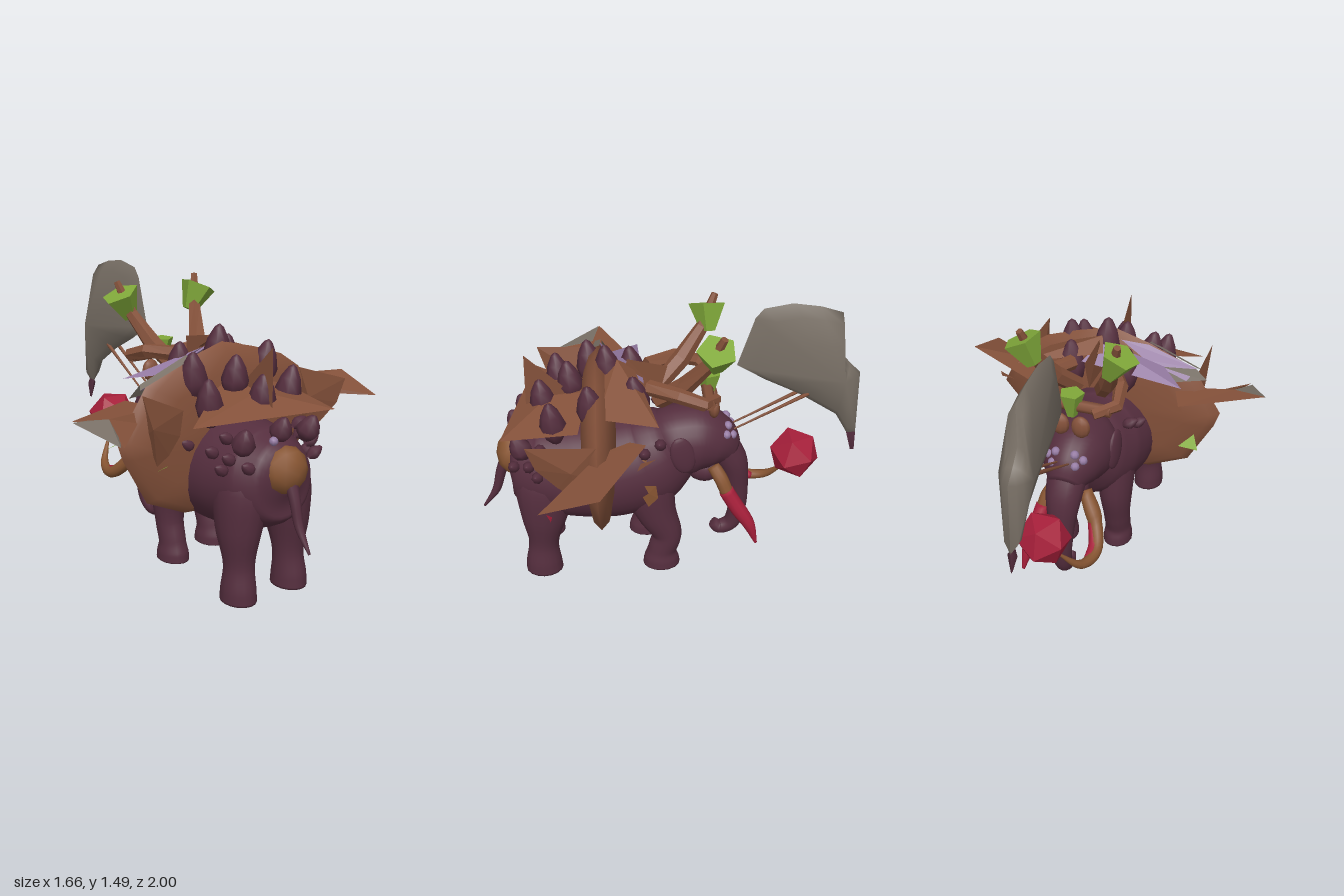
import * as THREE from 'three';

const CX = 0.03; // the animal's centre line
const mat = (name, color) => {
  const m = new THREE.MeshStandardMaterial({ color, side: THREE.DoubleSide });
  m.name = name;
  return m;
};

export function createModel() {
  const root = new THREE.Group();
  root.name = 'armouredElephant';
  const hide = mat('purpleHide', 0x552e3e), brown = mat('brownArmour', 0x84513a), tan = mat('tanHorn', 0x875532);
  const grey = mat('greyMetal', 0x797066), green = mat('leafGreen', 0x80a83a), red = mat('crimson', 0xa61f3a);
  const lavender = mat('lavender', 0x957ba3);

  const add = (name, geo, material, x = 0, y = 0, z = 0) => {
    const m = new THREE.Mesh(geo, material);
    m.name = name;
    m.position.set(x, y, z);
    root.add(m);
    return m;
  };
  const build = (pos, idx, flat) => {
    let g = new THREE.BufferGeometry();
    g.setAttribute('position', new THREE.Float32BufferAttribute(pos, 3));
    g.setIndex(idx);
    if (flat) g = g.toNonIndexed();
    g.computeVertexNormals();
    return g;
  };

  // Tapered tube through sections [x, y, z, sideRadius, otherRadius]
  const limb = (sections, sides = 16, steps = 6, flat = false) => {
    const path = new THREE.CatmullRomCurve3(sections.map(s => new THREE.Vector3(s[0], s[1], s[2])));
    const size = new THREE.CatmullRomCurve3(sections.map(s => new THREE.Vector3(s[3], s[4] ?? s[3], 0)));
    const n = (sections.length - 1) * steps, pos = [], idx = [];
    for (let i = 0; i <= n; i++) {
      const c = path.getPoint(i / n), r = size.getPoint(i / n), t = path.getTangent(i / n);
      const s = new THREE.Vector3(1, 0, 0).addScaledVector(t, -t.x).normalize();
      const u = t.clone().cross(s);
      for (let j = 0; j < sides; j++) {
        const a = j / sides * Math.PI * 2;
        pos.push(...c.clone().addScaledVector(s, Math.cos(a) * r.x).addScaledVector(u, Math.sin(a) * r.y).toArray());
      }
    }
    for (let i = 0; i < n; i++) for (let j = 0; j < sides; j++) {
      const k = (j + 1) % sides, a = i * sides, b = a + sides;
      idx.push(a + j, a + k, b + k, a + j, b + k, b + j);
    }
    const c0 = pos.length / 3;
    pos.push(...path.getPoint(0).toArray(), ...path.getPoint(1).toArray());
    for (let j = 0; j < sides; j++) {
      const k = (j + 1) % sides;
      idx.push(c0, k, j, c0 + 1, n * sides + j, n * sides + k);
    }
    return build(pos, idx, flat);
  };

  // Lens: outline swelling to a given half thickness at its centre
  const lens = (outline, [cu, cv], half, levels, map, flat = false) => {
    const pos = [], idx = [], n = outline.length;
    for (const side of [1, -1]) {
      const base = pos.length / 3;
      for (const [t, h] of levels) for (const [u, v] of outline)
        pos.push(...map(cu + (u - cu) * t, cv + (v - cv) * t, side * h * half));
      pos.push(...map(cu, cv, side * half));
      levels.forEach((_, l) => {
        for (let j = 0; j < n; j++) {
          const a = base + l * n + j, b = base + l * n + (j + 1) % n;
          const tris = l < levels.length - 1 ? [a, b, b + n, a, b + n, a + n] : [a, b, base + levels.length * n];
          for (let q = 0; q < tris.length; q += 3)
            side > 0 ? idx.push(tris[q], tris[q + 1], tris[q + 2]) : idx.push(tris[q], tris[q + 2], tris[q + 1]);
        }
      });
    }
    return build(pos, idx, flat);
  };
  // Thin polygon fanned from its first corner
  const plate = (name, pts, material) => {
    const idx = [];
    for (let i = 1; i < pts.length - 1; i++) idx.push(0, i, i + 1);
    return add(name, build(pts.flat(), idx, true), material);
  };
  const ball = (r, w = 14, h = 10) => new THREE.SphereGeometry(r, w, h);

  // Body and head
  add('body', limb([
    [CX, 0.62, 0.84, 0.05], [CX, 0.62, 0.8, 0.17, 0.18], [CX, 0.6, 0.7, 0.24, 0.24], [CX, 0.575, 0.5, 0.275, 0.28],
    [CX, 0.575, 0.3, 0.285, 0.29], [CX, 0.61, 0.12, 0.26, 0.28], [CX, 0.66, 0, 0.21, 0.235], [CX, 0.7, -0.1, 0.13, 0.16]], 26), hide);
  add('head', limb([
    [CX, 0.68, 0.08, 0.13, 0.16], [CX, 0.71, -0.05, 0.185, 0.195], [CX, 0.72, -0.16, 0.175, 0.19],
    [CX, 0.69, -0.26, 0.14, 0.15], [CX, 0.64, -0.34, 0.08, 0.08]], 22), hide);
  add('trunk', limb([
    [CX, 0.73, -0.24, 0.11, 0.1], [CX, 0.58, -0.34, 0.095, 0.085], [CX, 0.42, -0.375, 0.07, 0.065],
    [CX, 0.26, -0.385, 0.055, 0.05], [CX, 0.14, -0.355, 0.045], [CX, 0.11, -0.29, 0.04], [CX, 0.14, -0.255, 0.03]]), hide);
  add('jaw', ball(0.09), hide, CX, 0.53, -0.2).scale.set(0.9, 0.9, 1.1);
  add('tail', limb([[CX, 0.68, 0.82, 0.04], [CX, 0.55, 0.88, 0.028], [CX, 0.42, 0.92, 0.022], [CX, 0.31, 0.995, 0.006]], 8), hide);
  add('rumpGrowth', new THREE.IcosahedronGeometry(0.12, 1), tan, 0.035, 0.665, 0.8).scale.z = 0.8;
  add('rumpBud', ball(0.022, 8, 6), lavender, -0.02, 0.81, 0.78);

  // Legs, ears and face, mirrored about the centre line
  for (const s of [1, -1]) {
    const X = d => CX + s * d;
    add('hindLeg', limb([[X(0.08), 0.7, 0.6, 0.06, 0.08], [X(0.125), 0.56, 0.64, 0.125, 0.16], [X(0.15), 0.36, 0.66, 0.105, 0.125],
      [X(0.155), 0.17, 0.675, 0.075, 0.08], [X(0.16), 0.06, 0.68, 0.083, 0.095], [X(0.16), 0, 0.68, 0.085, 0.1]]), hide);
    const f = s > 0 ? -0.02 : 0.05;
    add('frontLeg', limb([[X(0.08), 0.7, 0.13, 0.06, 0.08], [X(0.125), 0.56, 0.12, 0.105, 0.15], [X(0.145), 0.36, 0.07, 0.09, 0.11],
      [X(0.15), 0.2, 0.03 + f, 0.073, 0.08], [X(0.15), 0.1, 0.055 + f, 0.07, 0.078], [X(0.15), 0.04, 0.06 + f, 0.078, 0.095],
      [X(0.15), 0, 0.06 + f, 0.08, 0.1]]), hide);
    const ear = add('ear', ball(1), hide, X(0.18), 0.73, -0.07);
    ear.scale.set(0.022, 0.11, 0.065);
    ear.rotation.set(0.25, s * 0.2, 0);
    for (const [d, y, z] of [[0.05, 0.82, -0.31], [0.09, 0.79, -0.3], [0.06, 0.77, -0.335]])
      add('eye', ball(0.024, 8, 6), lavender, X(d), y, z);
    add('browBead', ball(0.05, 10, 8), brown, X(0.055), 0.94, -0.235).scale.set(1, 1.2, 0.6);
  }

  // Tusks
  add('leftTuskBase', limb([[0.1, 0.58, -0.24, 0.035], [0.14, 0.52, -0.28, 0.037], [0.16, 0.45, -0.31, 0.036]], 10), tan);
  add('leftTusk', limb([[0.16, 0.46, -0.305, 0.04], [0.18, 0.36, -0.365, 0.041], [0.2, 0.26, -0.43, 0.033], [0.215, 0.14, -0.472, 0.008]], 10), red);
  add('rightTusk', limb([[-0.05, 0.56, -0.24, 0.036], [-0.13, 0.42, -0.31, 0.036], [-0.17, 0.33, -0.42, 0.032],
    [-0.14, 0.34, -0.55, 0.024], [-0.05, 0.47, -0.65, 0.004]], 10), tan);
  add('rightTuskInnerStain', limb([[-0.119, 0.42, -0.31, 0.03], [-0.15, 0.35, -0.39, 0.028], [-0.152, 0.325, -0.48, 0.023]], 10), red);

  // Leaf-shaped back spikes: x, z, base y, height, width
  const leaf = (h, w) => new THREE.LatheGeometry(
    [[0.4, 0], [0.85, 0.2], [1, 0.42], [0.72, 0.72], [0.3, 0.94], [0, 1]].map(([r, y]) => new THREE.Vector2(r * w, y * h)), 8);
  for (const [x, z, y, h, w] of [
    [-0.11, 0.16, 0.94, 0.25, 0.072], [0.16, 0.15, 0.94, 0.25, 0.072], [0.02, 0.28, 1.0, 0.28, 0.075],
    [-0.18, 0.38, 0.94, 0.25, 0.072], [0.23, 0.37, 0.94, 0.25, 0.072], [-0.02, 0.48, 0.95, 0.22, 0.068],
    [-0.21, 0.55, 0.86, 0.24, 0.068], [0.23, 0.56, 0.86, 0.24, 0.068], [0.03, 0.62, 0.88, 0.22, 0.068],
    [-0.16, 0.72, 0.76, 0.14, 0.058], [0.22, 0.72, 0.76, 0.14, 0.058], [0.03, 0.75, 0.8, 0.13, 0.055]]) {
    const m = add('backSpike', leaf(h, w), hide, x, y, z);
    m.rotation.set(z > 0.7 ? 0.4 : 0.12, 0, (CX - x) * 0.6);
  }
  // Small knobs over the rump and flanks
  for (const s of [1, -1]) for (const [d, y, z] of [[0.24, 0.72, 0.7], [0.26, 0.73, 0.6], [0.19, 0.69, 0.78], [0.27, 0.72, 0.42],
    [0.21, 0.8, 0.64], [0.25, 0.66, 0.66], [0.21, 0.81, 0.04], [0.23, 0.77, 0.12]]) {
    const m = add('knob', leaf(0.085, 0.031), hide, CX + s * (d - 0.02), y, z);
    m.rotation.set(0.3, 0, -s * 1.0);
  }

  // Big shield ringing the body
  const round = [[1, 0], [0.92, 0.45], [0.7, 0.8], [0.35, 0.97]];
  add('shield', lens([[-0.6, 0.79], [-0.57, 0.7], [-0.44, 0.46], [-0.22, 0.36], [0.03, 0.34], [0.32, 0.35], [0.65, 0.75], [0.57, 0.92],
    [0.5, 1.01], [0.38, 1.09], [0.2, 1.15], [0, 1.2], [-0.2, 1.14], [-0.44, 1.04]], [0.02, 0.8], 0.09, round,
    (u, v, w) => [u, v, 0.355 + w]), brown);
  plate('shieldTrim', [[-0.46, 1.04, 0.35], [-0.2, 1.145, 0.33], [-0.06, 1.17, 0.29], [-0.2, 1.09, 0.265], [-0.42, 0.99, 0.29]], lavender);
  plate('shieldEdge', [[-0.48, 1.03, 0.37], [-0.46, 1.05, 0.34], [-0.2, 1.155, 0.34], [-0.2, 1.14, 0.38]], grey);
  plate('shieldEdge', [[-0.52, 0.99, 0.335], [-0.46, 1.045, 0.335], [-0.24, 1.06, 0.265], [-0.36, 0.98, 0.275]], grey);

  // Back plates over the shoulders and hips
  plate('shoulderPlate', [[0.03, 1.2, 0.25], [0.0, 1.14, 0.17], [0.44, 1.06, 0.06], [0.34, 1.05, 0.35], [-0.05, 1.12, 0.4]], brown);
  plate('shoulderPatch', [[0.03, 1.17, 0.25], [0.1, 1.1, 0.12], [-0.43, 1.03, 0.14], [-0.3, 1.06, 0.28]], lavender);
  const hip = [[-0.42, 0.92, 0.7], [0.31, 0.92, 0.83], [0.33, 0.96, 0.45], [0.05, 1.03, 0.4], [-0.1, 1.0, 0.45]];
  plate('hipPlate', [[0.03, 1.0, 0.6], ...hip, hip[0]], brown);
  plate('hipPlateUnder', [[0.03, 0.95, 0.6], ...hip, hip[0]], brown);
  plate('hipFin', [[0.02, 1.23, 0.71], [0.02, 0.94, 0.72], [0.03, 0.98, 0.45]], brown);
  plate('neckFin', [[0.03, 1.2, 0.2], [0.04, 1.16, 0], [0.03, 1.0, 0.04], [0.03, 1.0, 0.24]], brown);

  // Side wings, each a folded plate
  for (const y of [0.93, 0.9]) {
    plate('leftWing', [[0.45, y, 0.34], [0.35, 0.92, 0.2], [0.38, 0.92, 0.12], [0.83, 0.94, 0.34], [0.81, 0.86, 0.62], [0.62, 0.87, 0.48]], brown);
    plate('rightWing', [[-0.66, y, 0.39], [-0.67, 0.93, 0.36], [-0.83, 0.94, 0.355], [-0.42, 0.92, 0.14], [-0.35, 0.92, 0.33],
      [-0.5, 0.88, 0.38], [-0.71, 0.86, 0.6], [-0.65, 0.88, 0.46]], brown);
    plate('rightWingTip', [[-0.66, y, 0.39], [-0.67, 0.93, 0.36], [-0.83, 0.935, 0.36], [-0.72, 0.86, 0.59], [-0.65, 0.88, 0.46]], grey);
  }
  // Upright blades on either side of the shield
  const blade = [[0.36, 1.0], [0.69, 1.01], [0.65, 0.88], [0.55, 0.76], [0.44, 0.67], [0.36, 0.8]];
  for (const x of [-0.45, 0.495])
    add('sideBlade', lens(blade, [0.48, 0.87], 0.03, [[1, 0]], (u, v, w) => [x + w + Math.sign(x) * (0.85 - v) * -0.08, v, u], true), brown);
  // Loose leaves and a shard
  plate('leafShard', [[-0.54, 0.68, 0.13], [-0.5, 0.73, 0.2], [-0.44, 0.7, 0.11]], green);
  plate('leafShard', [[-0.5, 0.68, 0.52], [-0.47, 0.72, 0.58], [-0.44, 0.7, 0.53]], green);
  plate('armourShard', [[0.54, 0.95, 0.08], [0.5, 0.9, 0.15], [0.59, 0.92, 0.17]], brown);

  // Antlers with leafy clumps
  const clump = (x, y, z, r, h) => {
    const m = add('leafClump', new THREE.CylinderGeometry(r, r * 0.4, h, 5).toNonIndexed(), green, x, y, z);
    m.geometry.computeVertexNormals();
    m.rotation.z = (CX - x) * 2;
  };
  for (const s of [1, -1]) {
    const X = d => CX + s * d;
    add('antler', limb([[X(0.07), 1.0, 0.05, 0.045], [X(0.14), 1.12, -0.08, 0.048], [X(0.2), 1.27, -0.19, 0.034], [X(0.245), 1.43, -0.255, 0.018]], 6, 1, true), brown);
    add('antlerProng', limb([[X(0.11), 1.1, 0.1, 0.04], [X(0.2), 1.1, -0.05, 0.038], [X(0.22), 1.06, -0.17, 0.034], [X(0.12), 1.03, -0.24, 0.028]], 6, 1, true), brown);
    clump(X(0.22), 1.31, -0.22, 0.1, 0.14);
  }
  const bar = add('antlerBar', new THREE.CylinderGeometry(0.03, 0.03, 0.4, 6), brown, CX, 1.04, -0.2);
  bar.rotation.z = Math.PI / 2;
  clump(CX, 1.05, -0.21, 0.065, 0.13);

  // Floating axe head on thin shafts
  const axe = [[-0.35, 1.15], [-0.43, 1.41], [-0.47, 1.46], [-0.61, 1.485], [-0.75, 1.465], [-0.86, 1.43], [-0.86, 1.22],
    [-0.92, 1.15], [-0.98, 1.09], [-0.995, 0.72], [-0.95, 0.72], [-0.88, 0.84], [-0.68, 0.97], [-0.5, 1.06]];
  add('axeHead', lens(axe, [-0.89, 1.08], 0.085, [[1, 0], [0.85, 0.4], [0.5, 0.65]], (u, v, w) => [CX + w, v, u]), grey);
  add('axeTip', lens([[-0.995, 0.73], [-1, 0.61], [-0.98, 0.61], [-0.945, 0.73]], [-0.975, 0.7], 0.025, [[1, 0]],
    (u, v, w) => [CX + w, v, u]), hide);
  for (const x of [0.0, 0.06])
    add('axeShaft', limb([[x, 0.76, -0.3, 0.004], [x, 0.88, -0.52, 0.007], [x, 0.99, -0.72, 0.011]], 6, 1), brown);

  // Floating crimson orb
  add('orb', new THREE.IcosahedronGeometry(0.138, 0), red, 0.0, 0.58, -0.685).rotation.x = 0.25;

  // Wounds on the flank
  plate('flankPatch', [[0.295, 0.56, 0.11], [0.293, 0.61, 0.13], [0.285, 0.6, 0.07], [0.285, 0.52, 0.06], [0.29, 0.47, 0.11], [0.298, 0.54, 0.14]], tan);
  plate('shoulderMark', [[0.262, 0.76, 0.15], [0.255, 0.76, 0.11], [0.268, 0.73, 0.12]], tan);
  plate('flankScar', [[0.29, 0.44, 0.64], [0.288, 0.42, 0.61], [0.28, 0.38, 0.62]], red);
  return root;
}
